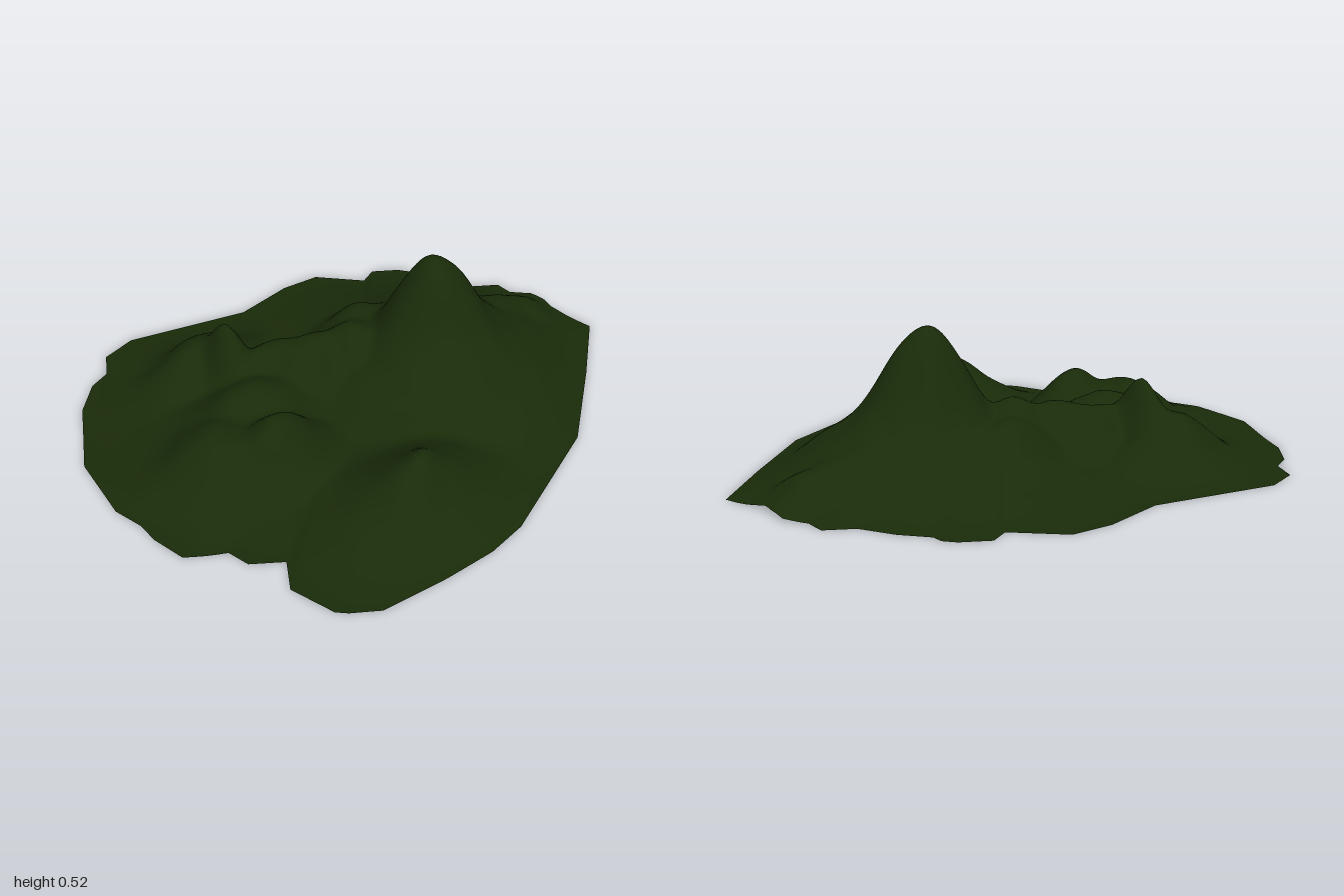
import * as THREE from 'three';

// Coastline corners (x, z), clockwise from the back as seen from above
const OUTLINE = [
  [-0.46, -0.86], [-0.01, -0.73], [0.22, -0.76], [0.37, -0.74], [0.51, -0.59], [0.58, -0.62],
  [0.67, -0.56], [0.70, -0.52], [0.70, -0.48], [0.77, -0.39], [0.83, -0.27], [0.92, -0.21],
  [0.92, -0.14], [0.97, -0.07], [0.97, 0.0], [0.96, 0.05], [1.0, 0.23], [0.77, 0.42],
  [0.47, 0.65], [0, 0.83], [-0.15, 0.85], [-0.34, 0.84], [-0.58, 0.81], [-0.67, 0.75],
  [-0.70, 0.72], [-0.75, 0.56], [-0.69, 0.46], [-0.79, 0.39], [-0.81, 0.31], [-0.94, 0.24],
  [-0.97, 0.12], [-0.97, 0.04], [-1.0, -0.07], [-0.97, -0.33], [-0.82, -0.61], [-0.72, -0.71],
  [-0.64, -0.74], [-0.59, -0.83],
];

// Hills: centre x, z, height, radius along x, radius along z, steepness
const HILLS = [
  [0.325, 0.035, 0.468, 0.225, 0.205, 2.1], // main peak
  [0.34, 0.06, 0.26, 0.36, 0.35, 2],        // main peak skirt
  [-0.2, 0.55, 0.212, 0.22, 0.17, 1.6],     // front peak
  [-0.33, -0.37, 0.272, 0.085, 0.13, 1.8],  // back peak
  [-0.37, -0.48, 0.155, 0.2, 0.14, 2.2],    // back peak shoulder
  [-0.45, 0.1, 0.195, 0.17, 0.14, 2],       // left hill
  [-0.63, 0.0, 0.155, 0.2, 0.19, 2.2],      // left shoulder
  [-0.85, -0.04, 0.05, 0.13, 0.16, 2],      // left tail
  [-0.4, -0.12, 0.155, 0.24, 0.18, 2],      // inner saddle
  [-0.2, -0.27, 0.165, 0.18, 0.12, 2.2],    // saddle to the back peak
  [-0.1, -0.18, 0.18, 0.19, 0.15, 2.3],     // middle ridge
  [0.07, -0.13, 0.205, 0.16, 0.14, 2.2],    // main peak shoulder
  [0.17, -0.24, 0.165, 0.18, 0.13, 2.2],    // back spur
  [0.72, 0.0, 0.115, 0.15, 0.14, 2.2],      // right ridge
  [0.83, 0.03, 0.1, 0.11, 0.12, 2.4],       // right ridge end
];

// Gentle gullies and bumps
function ripple(x, z) {
  const wx = x + 0.05 * Math.sin(9 * z + 1), wz = z + 0.05 * Math.sin(8 * x + 2);
  return 0.5 * Math.sin(17 * wx + 5 * wz) * Math.sin(15 * wz - 4 * wx + 1)
    + 0.3 * Math.sin(31 * wx - 11 * wz + 2) * Math.sin(27 * wz + 9 * wx);
}

// t runs from 0 at the centre to 1 at the coast
function heightAt(x, z, t) {
  let sum = 0;
  for (const [cx, cz, h, rx, rz, k] of HILLS) {
    const d = Math.hypot((x - cx) / rx, (z - cz) / rz);
    sum += Math.pow(h * Math.exp(-Math.pow(d, k)), 5);
  }
  const hills = Math.pow(sum, 0.2);
  const fade = 1 - Math.pow(t, 9);
  const rim = 0.022 * Math.exp(-Math.pow((z - 0.01) / 0.1, 2)) * THREE.MathUtils.smoothstep(x, 0.6, 0.95)
    + 0.015 * THREE.MathUtils.smoothstep(-x, 0.85, 1);
  const bumps = ripple(x, z) * 0.1 * Math.min(hills, 0.18);
  return Math.max(0, (0.043 * (1 - t * t * t) + hills + bumps) * fade + rim * t * t);
}

function landGeometry(rings) {
  // Split long coast edges so the radial strips stay even
  const coast = [];
  OUTLINE.forEach(([x, z], i) => {
    const [nx, nz] = OUTLINE[(i + 1) % OUTLINE.length];
    const n = Math.max(1, Math.round(Math.hypot(nx - x, nz - z) / 0.03));
    for (let s = 0; s < n; s++) coast.push([x + (nx - x) * s / n, z + (nz - z) * s / n]);
  });
  const n = coast.length;
  const pos = [0, heightAt(0, 0, 0), 0];
  const index = [];
  for (let r = 1; r <= rings; r++) {
    const t = r / rings;
    for (const [x, z] of coast) pos.push(x * t, heightAt(x * t, z * t, t), z * t);
  }
  for (let j = 0; j < n; j++) {
    const k = (j + 1) % n;
    index.push(0, 1 + k, 1 + j);
    for (let r = 0; r < rings - 1; r++) {
      const a = 1 + r * n + j, b = 1 + r * n + k;
      index.push(a, b, b + n, a, b + n, a + n);
    }
  }
  const geo = new THREE.BufferGeometry();
  geo.setAttribute('position', new THREE.Float32BufferAttribute(pos, 3));
  geo.setIndex(index);
  geo.computeVertexNormals();
  return geo;
}

export function createModel() {
  const group = new THREE.Group();
  group.name = 'mountainIsland';
  // Open-bottomed land surface
  const land = new THREE.Mesh(
    landGeometry(64),
    new THREE.MeshStandardMaterial({ color: 0x192b09, side: THREE.DoubleSide }),
  );
  land.name = 'terrain';
  group.add(land);
  return group;
}
